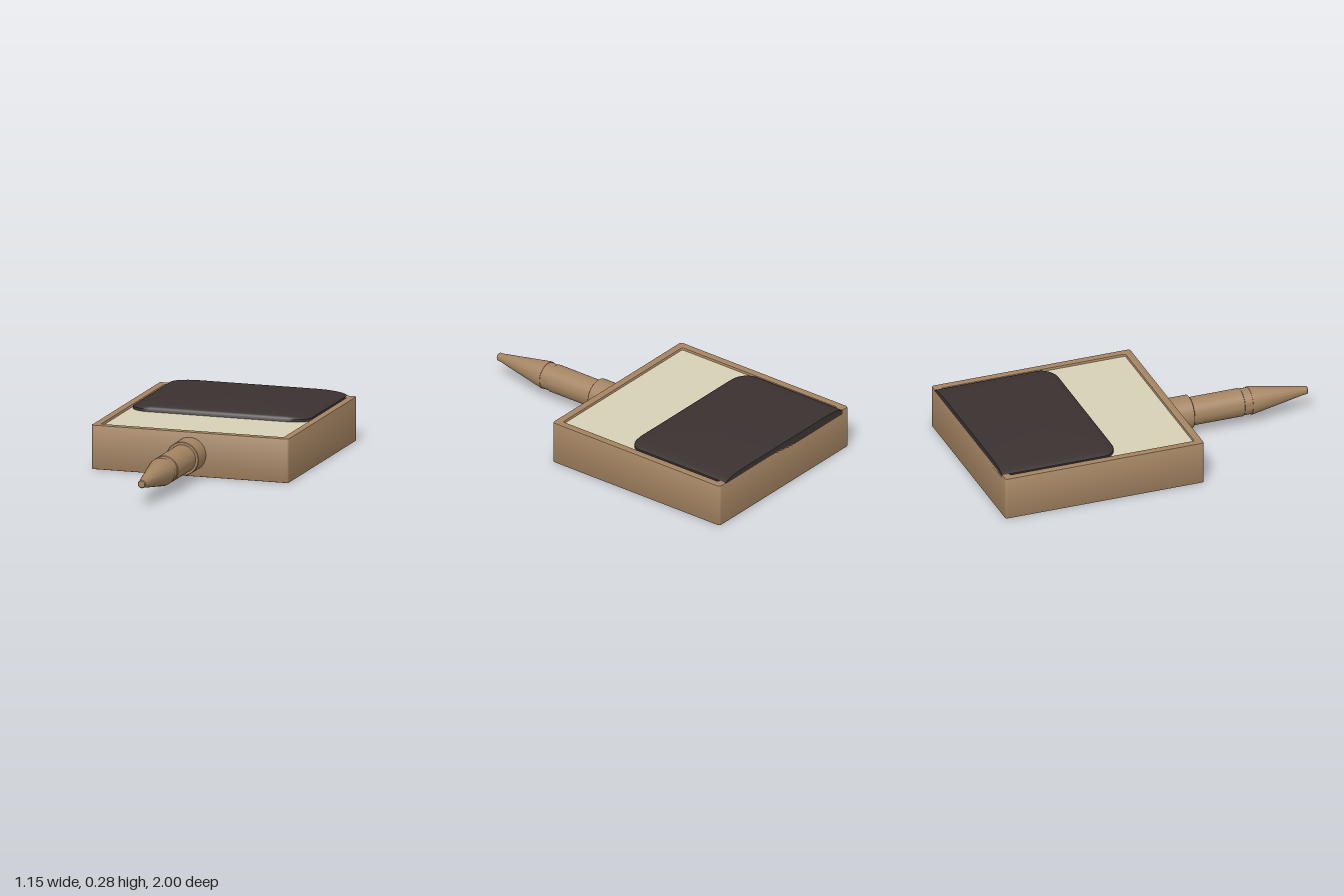
import * as THREE from 'three';
import { toCreasedNormals } from 'three/addons/utils/BufferGeometryUtils.js';

const material = (color) => new THREE.MeshStandardMaterial({ color });

// Rounded rectangle on the ground plane, drawn with shape y = -z
function roundedRect(Type, halfX, zBack, zFront, r) {
  const s = new Type();
  const y0 = -zFront, y1 = -zBack;
  s.moveTo(-halfX + r, y0);
  s.lineTo(halfX - r, y0);
  s.absarc(halfX - r, y0 + r, r, -Math.PI / 2, 0);
  s.lineTo(halfX, y1 - r);
  s.absarc(halfX - r, y1 - r, r, 0, Math.PI / 2);
  s.lineTo(-halfX + r, y1);
  s.absarc(-halfX + r, y1 - r, r, Math.PI / 2, Math.PI);
  s.lineTo(-halfX, y0 + r);
  s.absarc(-halfX + r, y0 + r, r, Math.PI, Math.PI * 1.5);
  return s;
}

// Cover: one outline stacked in rings that shrink toward the back edge
function coverGeometry() {
  const hx = 0.52, length = 0.69, rx = 0.11, rz = 0.085, steps = 10;
  const outline = [[hx, 0]];
  for (let i = 0; i <= steps; i++) {
    const a = (i / steps) * Math.PI / 2;
    outline.push([hx - rx + rx * Math.cos(a), length - rz + rz * Math.sin(a)]);
  }
  outline.push(...outline.map(([x, z]) => [-x, z]).reverse());

  // height, inset at the sides, inset at the front
  const rings = [
    [0.225, 0, 0], [0.25, 0, 0], [0.257, 0.012, 0.004], [0.263, 0.03, 0.012],
    [0.269, 0.065, 0.028], [0.273, 0.11, 0.05], [0.275, 0.16, 0.08],
  ];
  const n = outline.length, pos = [], idx = [];
  for (const [y, ix, iz] of rings) {
    for (const [x, z] of outline) pos.push(x * (1 - ix / hx), y, -1 + z * (1 - iz / length));
  }
  for (let k = 0; k < rings.length - 1; k++) {
    for (let i = 0; i < n; i++) {
      const a = k * n + i, b = k * n + (i + 1) % n;
      idx.push(a, a + n, b, b, a + n, b + n);
    }
  }
  // Top cap and underside
  const top = (rings.length - 1) * n, centre = pos.length / 3;
  pos.push(0, 0.275, -0.7, 0, 0.225, -0.7);
  for (let i = 0; i < n; i++) {
    const j = (i + 1) % n;
    idx.push(centre, top + j, top + i, centre + 1, i, j);
  }
  const g = new THREE.BufferGeometry();
  g.setAttribute('position', new THREE.Float32BufferAttribute(pos, 3));
  g.setIndex(idx);
  return toCreasedNormals(g, 0.6);
}

export function createModel() {
  const group = new THREE.Group();
  const wood = material(0xa48462);
  const add = (name, geometry, mat) => {
    const mesh = new THREE.Mesh(geometry, mat);
    mesh.name = name;
    group.add(mesh);
    return mesh;
  };

  // Frame with softened edges, open above and below
  const shape = roundedRect(THREE.Shape, 0.575, -1, 0.175, 0.016);
  shape.holes.push(roundedRect(THREE.Path, 0.53, -0.955, 0.13, 0.012));
  const bevel = 0.006;
  const frame = new THREE.ExtrudeGeometry(shape, {
    depth: 0.25 - 2 * bevel, bevelThickness: bevel, bevelSize: bevel,
    bevelOffset: -bevel, bevelSegments: 2, curveSegments: 5,
  });
  frame.translate(0, 0, bevel).rotateX(-Math.PI / 2);
  add('frame', toCreasedNormals(frame, 0.6), wood);

  // Panel held inside the frame, slightly recessed on both faces
  add('panel', new THREE.BoxGeometry(1.08, 0.215, 1.105), material(0xd6d0b4))
    .position.set(0, 0.1275, -0.4125);

  // Soft cover over the rear part
  add('cover', coverGeometry(), material(0x3a3231));

  // Turned parts along the front axis, given as [radius, z]
  const turned = (name, profile) => {
    const g = new THREE.LatheGeometry(profile.map(([r, z]) => new THREE.Vector2(r, z)), 48);
    g.rotateX(Math.PI / 2);
    add(name, toCreasedNormals(g, 0.35), wood).position.y = 0.125;
  };
  turned('collar', [[0.095, 0.16], [0.095, 0.302], [0.092, 0.305], [0.07, 0.305]]);
  turned('handle', [[0.079, 0.29], [0.079, 0.605], [0.075, 0.608], [0.075, 0.655]]);
  turned('taperedTip', [
    [0.07, 0.655], [0.078, 0.655], [0.079, 0.665], [0.028, 0.955],
    [0.025, 0.97], [0.023, 0.996], [0.019, 1], [0, 1],
  ]);

  return group;
}
